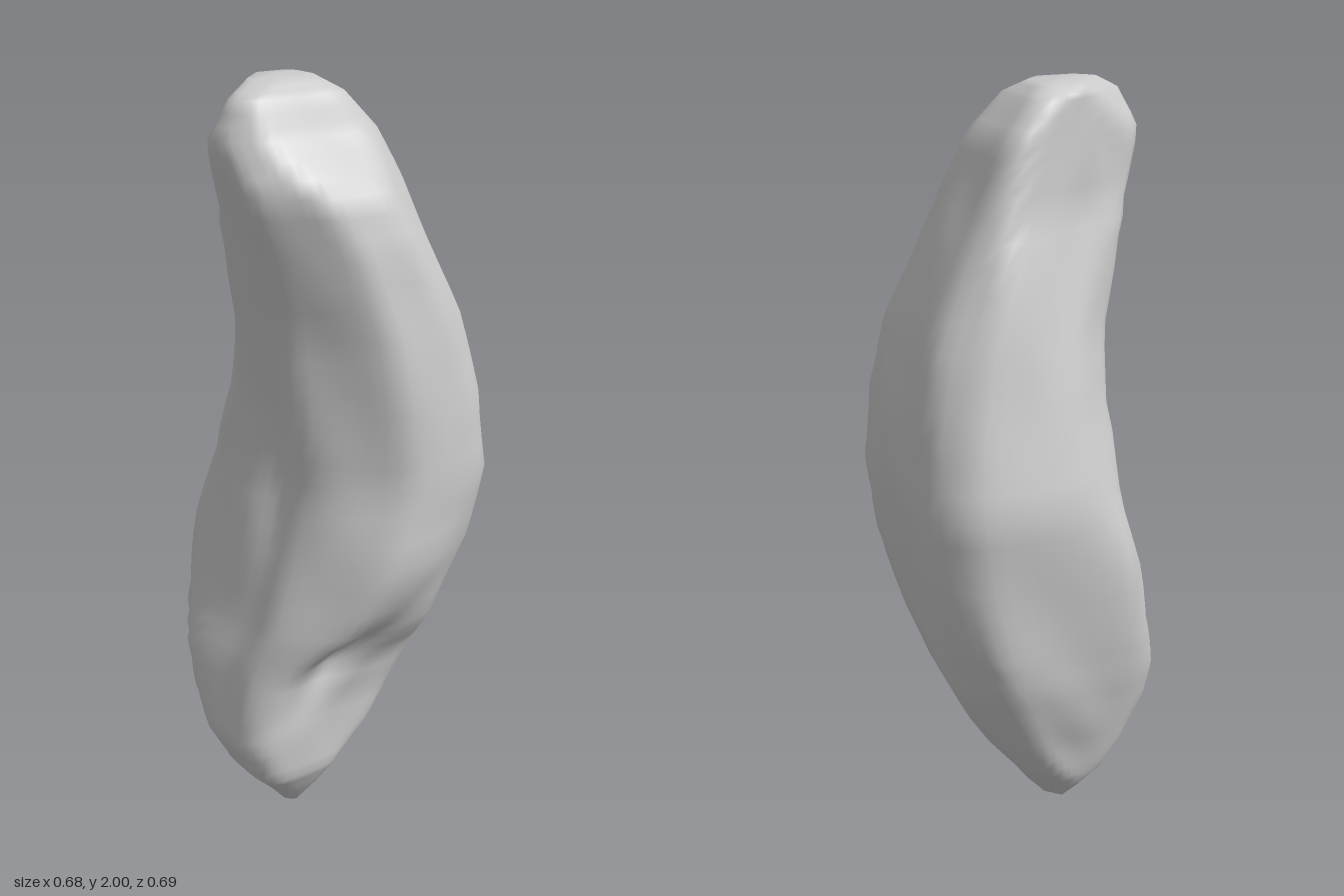
import * as THREE from 'three';

// Cross-sections from bottom to top: height, then the extents
// [y, x min, x max, z min, z max, (x-z) min, max, (x+z) min, max]
const SECTIONS = [
  [0.01, -0.14, -0.07, -0.09, 0.03, -0.15, -0.03, -0.19, -0.08],
  [0.08, -0.20, -0.01, -0.17, 0.08, -0.25, 0.06, -0.26, 0.00],
  [0.15, -0.27, 0.04, -0.20, 0.12, -0.35, 0.15, -0.35, 0.08],
  [0.25, -0.32, 0.12, -0.22, 0.125, -0.40, 0.24, -0.43, 0.18],
  [0.35, -0.32, 0.18, -0.25, 0.13, -0.39, 0.32, -0.48, 0.25],
  [0.47, -0.31, 0.24, -0.28, 0.16, -0.37, 0.41, -0.52, 0.34],
  [0.60, -0.27, 0.28, -0.30, 0.27, -0.38, 0.47, -0.55, 0.43],
  [0.80, -0.235, 0.32, -0.32, 0.34, -0.36, 0.54, -0.55, 0.53],
  [1.00, -0.20, 0.34, -0.34, 0.35, -0.32, 0.60, -0.43, 0.60],
  [1.20, -0.20, 0.33, -0.31, 0.34, -0.34, 0.54, -0.34, 0.58],
  [1.40, -0.22, 0.29, -0.28, 0.33, -0.36, 0.47, -0.30, 0.49],
  [1.60, -0.27, 0.21, -0.24, 0.31, -0.41, 0.37, -0.31, 0.37],
  [1.75, -0.31, 0.14, -0.21, 0.27, -0.46, 0.29, -0.36, 0.28],
  [1.87, -0.34, 0.09, -0.19, 0.15, -0.42, 0.23, -0.33, 0.19],
  [1.96, -0.30, 0.01, -0.14, 0.11, -0.38, 0.12, -0.26, 0.09],
  [1.995, -0.22, -0.04, -0.08, 0.06, -0.24, 0.02, -0.22, -0.02],
];
const D = Math.SQRT1_2;
const AXES = [[1, 0], [0, 1], [D, -D], [D, D]];
const SIDES = 60;
const STEPS = 3;
const SHARPNESS = 28;

const bump = (v, mid, width) => Math.exp(-(((v - mid) / width) ** 2));

// Softened polygon: radius in direction (c, s) limited by every extent
function radius(row, cx, cz, c, s) {
  const limit = (along, reach) => (Math.max(along, 0) / Math.max(reach, 0.01)) ** SHARPNESS;
  let sum = 0;
  AXES.forEach(([ax, az], i) => {
    const scale = i < 2 ? 1 : D;
    const mid = cx * ax + cz * az;
    const along = c * ax + s * az;
    sum += limit(along, row[2 + 2 * i] * scale - mid);
    sum += limit(-along, mid - row[1 + 2 * i] * scale);
  });
  // Slanted flat back of the upper half
  const back = 0.15 + 0.27 * Math.max(0, 1.7 - row[0]);
  sum += limit(-0.4 * c - 0.917 * s, back + 0.4 * cx + 0.917 * cz);
  return sum ** (-1 / SHARPNESS);
}

function bodyGeometry() {
  const pos = [];
  const index = [];
  const rings = (SECTIONS.length - 1) * STEPS + 1;
  for (let r = 0; r < rings; r++) {
    const k = Math.min(Math.floor(r / STEPS), SECTIONS.length - 2);
    const t = r / STEPS - k;
    const row = SECTIONS[k].map((v, i) => THREE.MathUtils.lerp(v, SECTIONS[k + 1][i], t));
    const y = row[0];
    const cx = (row[1] + row[2]) / 2;
    const cz = (row[3] + row[4]) / 2;
    const fade = Math.min(1, y / 0.3, (2 - y) / 0.3);
    for (let j = 0; j < SIDES; j++) {
      const a = (j / SIDES) * Math.PI * 2;
      const c = Math.cos(a);
      const s = Math.sin(a);
      let rad = radius(row, cx, cz, c, s);
      // Hollow along the inner side
      rad -= 0.04 * bump(a, Math.PI * 0.92, 0.35) * bump(y, 0.85, 0.4);
      // Notch under the front lip, rising to the outer side
      rad -= 0.05 * bump(a, Math.PI * 0.54, 0.45) * bump(y, 0.52 + 0.18 * (Math.PI * 0.54 - a), 0.09);
      // Shallow dip between the front bulge and the outer edge
      rad -= 0.025 * bump(a, 1.13, 0.2) * bump(y, 0.95, 0.4);
      // Soft lumps
      rad += fade * 0.004 * (Math.sin(3 * a + 7 * y) + Math.sin(5 * a - 11 * y + 1) - 0.4);
      pos.push(cx + rad * c, y, cz + rad * s);
    }
  }
  for (let r = 0; r < rings - 1; r++) {
    for (let j = 0; j < SIDES; j++) {
      const a = r * SIDES + j;
      const b = r * SIDES + ((j + 1) % SIDES);
      index.push(a, a + SIDES, b, b, a + SIDES, b + SIDES);
    }
  }
  // Close both tips
  const bottom = pos.length / 3;
  pos.push(-0.11, 0, -0.03, -0.13, 2, -0.01);
  const last = (rings - 1) * SIDES;
  for (let j = 0; j < SIDES; j++) {
    const n = (j + 1) % SIDES;
    index.push(bottom, j, n, bottom + 1, last + n, last + j);
  }
  const geo = new THREE.BufferGeometry();
  geo.setAttribute('position', new THREE.Float32BufferAttribute(pos, 3));
  geo.setIndex(index);
  geo.computeVertexNormals();
  return geo;
}

export function createModel() {
  const group = new THREE.Group();
  group.name = 'curvedLobe';
  const body = new THREE.Mesh(bodyGeometry(), new THREE.MeshStandardMaterial({ color: 0xcccccc }));
  body.name = 'lobeBody';
  group.add(body);
  return group;
}
